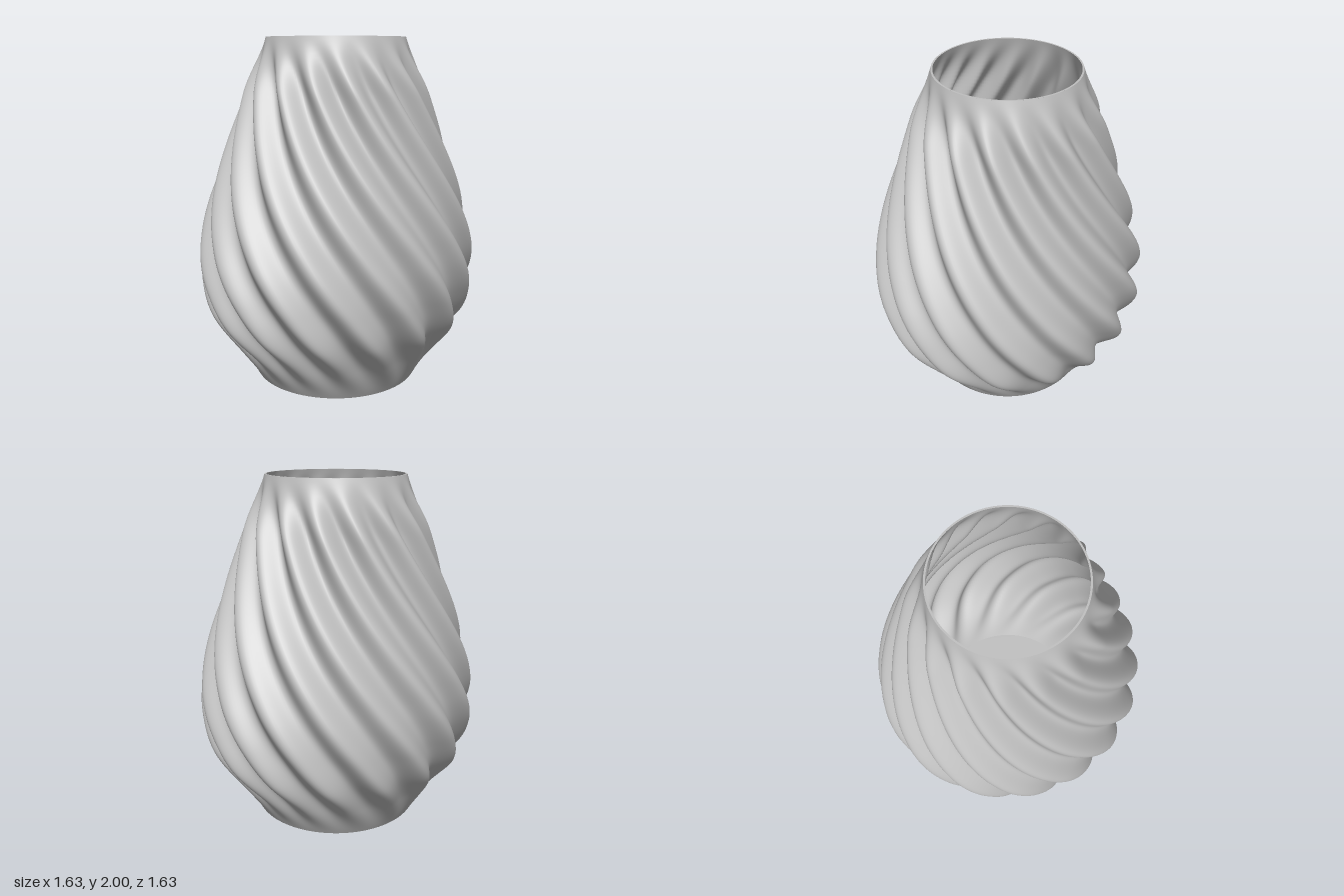
import * as THREE from 'three';
import { mergeVertices } from 'three/addons/utils/BufferGeometryUtils.js';

const LOBES = 16, TWIST = 0.94, DEPTH = 0.04, WALL = 0.01;
const SEGMENTS = 320, ROWS = 90;

// Mean radius of the body against height
const profile = new THREE.SplineCurve([
  [0.49, 0], [0.605, 0.2], [0.725, 0.4], [0.772, 0.58], [0.78, 0.74], [0.757, 0.9],
  [0.72, 1.05], [0.672, 1.2], [0.6, 1.4], [0.528, 1.6], [0.462, 1.8], [0.4, 2],
].map(([r, y]) => new THREE.Vector2(r, y)));

// Radial push of the spiral flutes, fading out at base and rim
function flute(angle, y) {
  const fade = THREE.MathUtils.smoothstep(y, 0, 0.4) * (1 - THREE.MathUtils.smoothstep(y, 1.68, 2));
  return -DEPTH * fade * Math.cos(LOBES * (angle + TWIST * (y - 0.7) + 0.061));
}

// Lathe the profile, then twist flutes into it
function flutedWall(offset, inward) {
  const points = profile.getSpacedPoints(ROWS).map(p => new THREE.Vector2(p.x - offset, p.y));
  if (inward) points.reverse();
  let geometry = new THREE.LatheGeometry(points, SEGMENTS);
  geometry.deleteAttribute('uv');
  geometry.deleteAttribute('normal');
  const pos = geometry.attributes.position;
  for (let i = 0; i < pos.count; i++) {
    const x = pos.getX(i), y = pos.getY(i), z = pos.getZ(i);
    const angle = Math.atan2(x, z);
    const r = Math.hypot(x, z) + flute(angle, y);
    pos.setXYZ(i, r * Math.sin(angle), y, r * Math.cos(angle));
  }
  geometry = mergeVertices(geometry, 1e-5);
  geometry.computeVertexNormals();
  return geometry;
}

export function createModel() {
  const group = new THREE.Group();
  group.name = 'twistedLampshade';
  const grey = new THREE.MeshStandardMaterial({ color: 0xc0c0c0 });
  grey.name = 'grey';
  const add = (name, geometry) => {
    const mesh = new THREE.Mesh(geometry, grey);
    mesh.name = name;
    group.add(mesh);
    return mesh;
  };

  add('outerWall', flutedWall(0, false));
  add('innerWall', flutedWall(WALL, true));

  // Flat lip joining the two walls
  const rim = add('rim', new THREE.RingGeometry(0.4 - WALL, 0.4, 128));
  rim.rotation.x = -Math.PI / 2;
  rim.position.y = 2;

  // Floor plate with a central hole
  const disc = new THREE.Shape().absarc(0, 0, 0.49, 0, Math.PI * 2);
  disc.holes.push(new THREE.Path().absarc(0, 0, 0.187, 0, Math.PI * 2, true));
  const floor = add('floor', new THREE.ExtrudeGeometry(disc, { depth: 0.025, bevelEnabled: false, curveSegments: 96 }));
  floor.rotation.x = -Math.PI / 2;

  return group;
}
